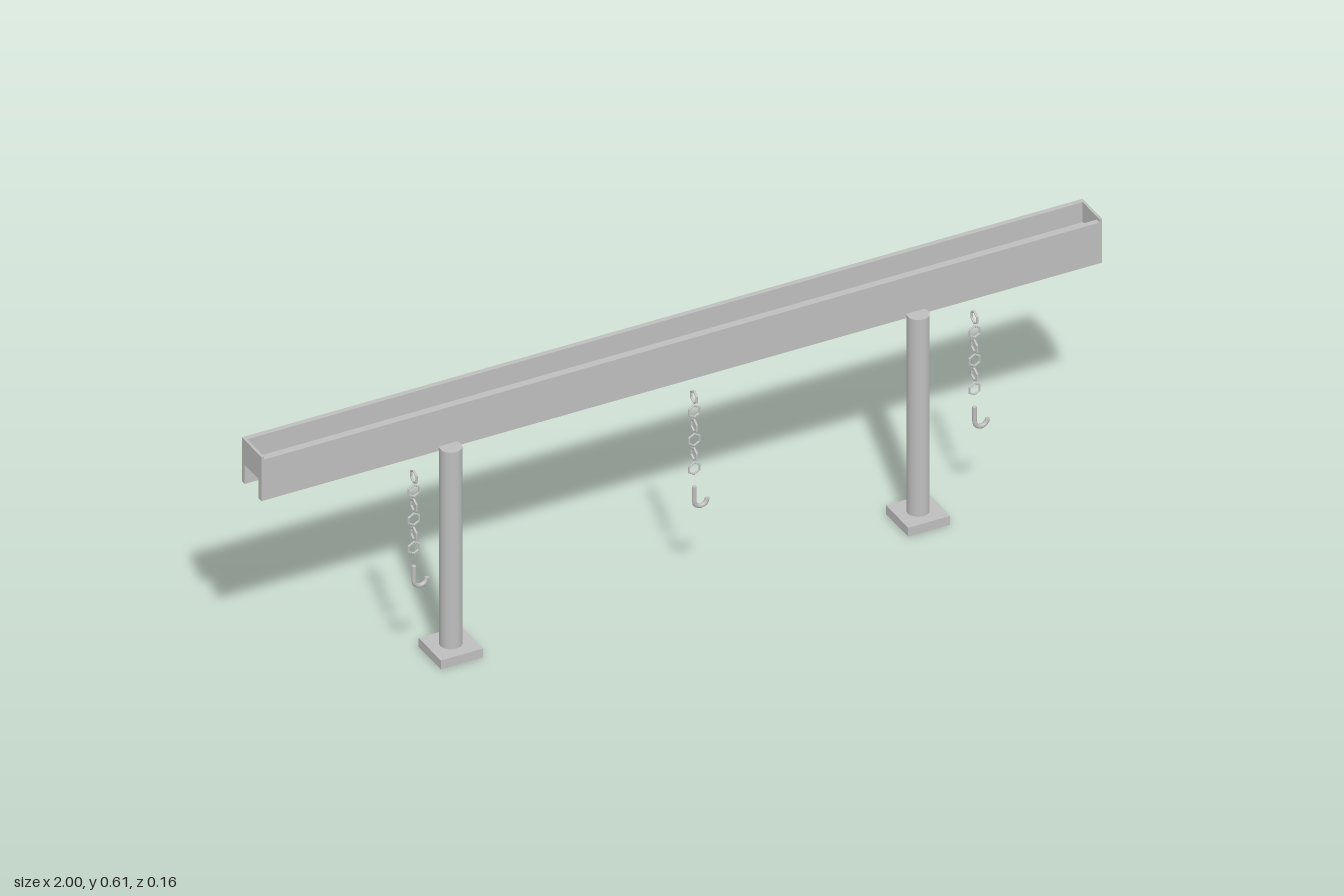
import * as THREE from 'three';

export function createModel() {
  const model = new THREE.Group();
  const steel = new THREE.MeshStandardMaterial({ color: 0xbebebe });
  steel.name = 'grey steel';
  const flatSteel = steel;

  const add = (parent, name, geometry, x, y, z) => {
    const mesh = new THREE.Mesh(geometry, flatSteel);
    mesh.name = name;
    mesh.position.set(x, y, z);
    parent.add(mesh);
    return mesh;
  };
  // Box given by its limits on each axis
  const addBox = (parent, name, x0, x1, y0, y1, z0, z1) =>
    add(parent, name, new THREE.BoxGeometry(x1 - x0, y1 - y0, z1 - z0),
      (x0 + x1) / 2, (y0 + y1) / 2, (z0 + z1) / 2);
  const faceted = (geometry) => {
    const g = geometry.toNonIndexed();
    g.computeVertexNormals();
    return g;
  };

  // Beam: two walls joined by a web, with closed ends above the web
  const beam = new THREE.Group();
  beam.name = 'beam';
  model.add(beam);
  addBox(beam, 'frontWall', -1, 1, 0.502, 0.604, -0.003, 0.01);
  addBox(beam, 'backWall', -1, 1, 0.502, 0.612, -0.078, -0.066);
  addBox(beam, 'web', -1, 1, 0.55, 0.562, -0.066, -0.003);
  for (const side of [-1, 1]) {
    const a = side * 1, b = side * 0.994;
    addBox(beam, 'endPlate', Math.min(a, b), Math.max(a, b), 0.55, 0.612, -0.078, 0.01);
  }

  // Posts on square feet
  for (const side of [-1, 1]) {
    const post = new THREE.Group();
    post.name = side > 0 ? 'leftPost' : 'rightPost';
    post.position.set(side * 0.556, 0, 0.022);
    model.add(post);
    add(post, 'foot', new THREE.BoxGeometry(0.1, 0.022, 0.1), 0, 0.011, 0);
    add(post, 'pole', new THREE.CylinderGeometry(0.0245, 0.0245, 0.491, 24), 0, 0.2675, 0);
  }

  // Hook path: straight shank, then a half turn towards +x
  const path = new THREE.CurvePath();
  path.add(new THREE.LineCurve3(new THREE.Vector3(0, 0.273, 0), new THREE.Vector3(0, 0.236, 0)));
  const arc = [];
  for (let i = 0; i <= 8; i++) {
    const t = Math.PI + (Math.PI * i) / 8;
    arc.push(new THREE.Vector3(0.0155 + 0.0155 * Math.cos(t), 0.236 + 0.0155 * Math.sin(t), 0));
  }
  path.add(new THREE.CatmullRomCurve3(arc));
  const hookGeometry = new THREE.TubeGeometry(path, 14, 0.0052, 8, false);
  const capGeometry = new THREE.CircleGeometry(0.0052, 8).rotateX(-Math.PI / 2);

  // Hexagonal links, points up
  const linkGeometry = faceted(new THREE.TorusGeometry(0.0142, 0.0027, 6, 6).rotateZ(Math.PI / 6));

  // Three hanging chains with hooks
  for (const x of [-0.667, 0, 0.667]) {
    const chain = new THREE.Group();
    chain.name = 'chain';
    chain.position.set(x, 0, 0.066);
    model.add(chain);
    for (let i = 0; i < 6; i++) {
      const link = add(chain, 'link', linkGeometry, 0, 0.496 - i * 0.0355, 0);
      if (i % 2 === 0) link.rotation.y = Math.PI / 2;
    }
    add(chain, 'hook', hookGeometry, 0, 0, 0);
    add(chain, 'hookTop', capGeometry, 0, 0.273, 0);
    add(chain, 'hookTip', capGeometry, 0.031, 0.236, 0);
  }
  return model;
}
